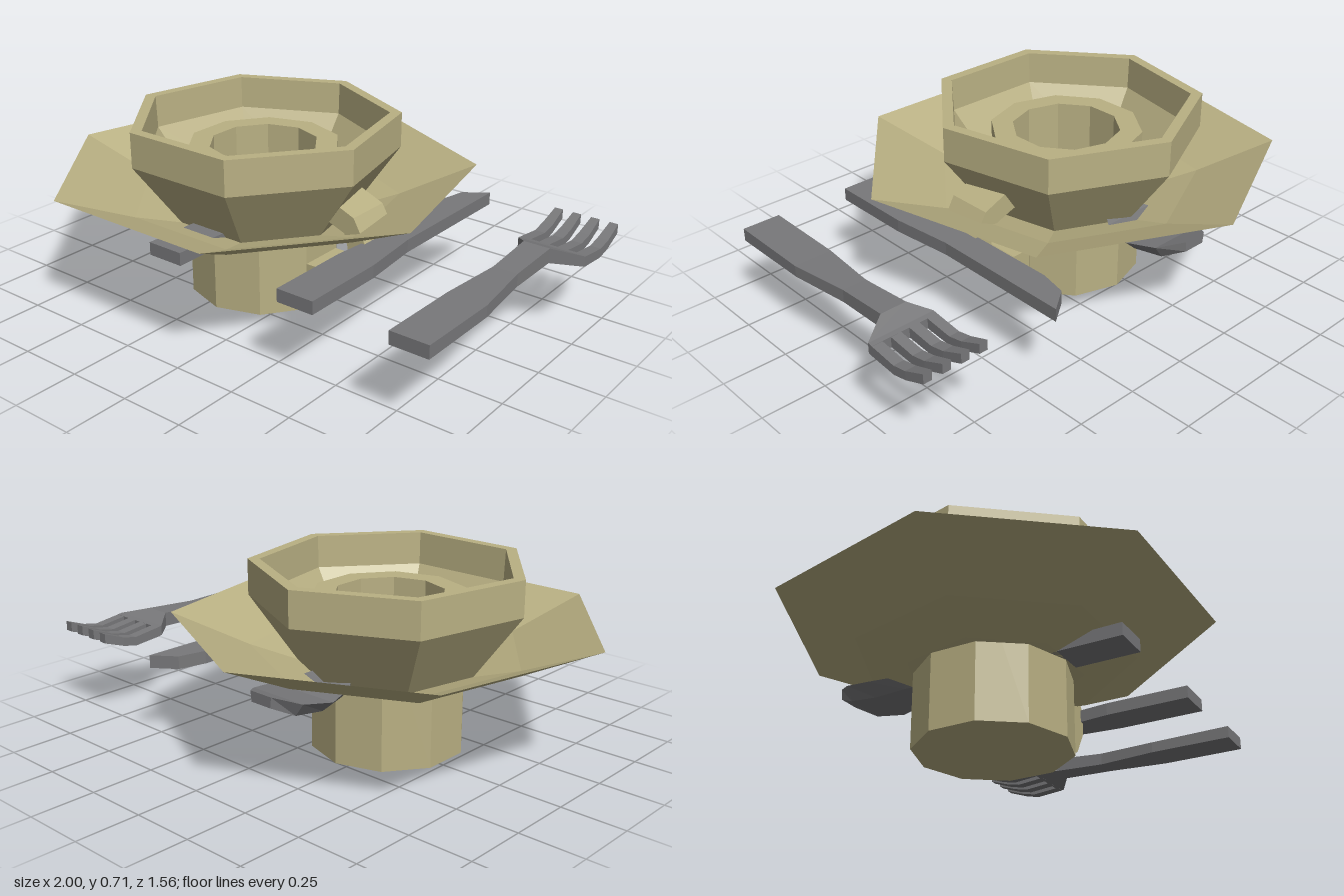
import * as THREE from 'three';

const ceramic = new THREE.MeshStandardMaterial({ color: 0xb9b083, flatShading: true });
const steel = new THREE.MeshStandardMaterial({ color: 0x78787a, flatShading: true });

function part(geometry, material, name) {
  const mesh = new THREE.Mesh(geometry, material);
  mesh.name = name;
  return mesh;
}

// Faceted dish: profile runs from the underside centre, out, up and back inside
function turned(profile, sides, start, name) {
  const points = profile.map(([r, y]) => new THREE.Vector2(r, y));
  return part(new THREE.LatheGeometry(points, sides, start), ceramic, name);
}

// Rectangular sections [z, xMin, xMax, yBottom, yTop, bottomScale] joined front to back
function bar(sections, name) {
  const positions = [];
  const index = [];
  for (const [z, x0, x1, y0, y1, s = 1] of sections) {
    const c = (x0 + x1) / 2;
    const h = ((x1 - x0) / 2) * s;
    positions.push(c - h, y0, z, c + h, y0, z, x1, y1, z, x0, y1, z);
  }
  const last = (sections.length - 1) * 4;
  for (let a = 0; a < last; a += 4) {
    for (let k = 0; k < 4; k++) {
      const n = (k + 1) % 4;
      index.push(a + k, a + 4 + k, a + n, a + n, a + 4 + k, a + 4 + n);
    }
  }
  index.push(0, 1, 2, 0, 2, 3, last, last + 2, last + 1, last, last + 3, last + 2);
  const geometry = new THREE.BufferGeometry();
  geometry.setAttribute('position', new THREE.Float32BufferAttribute(positions, 3));
  geometry.setIndex(index);
  const flat = geometry.toNonIndexed();
  flat.computeVertexNormals();
  return part(flat, steel, name);
}

// Waisted grip shared by fork and spoon
const grip = (x) => [
  [0.59, x - 0.075, x + 0.075, 0.295, 0.345],
  [0.25, x - 0.075, x + 0.075, 0.295, 0.34],
  [0, x - 0.047, x + 0.047, 0.297, 0.347],
  [-0.22, x - 0.052, x + 0.052, 0.305, 0.362],
];

function createMug() {
  const mug = new THREE.Group();
  mug.name = 'mug';
  mug.add(turned(
    [[0, 0], [0.295, 0], [0.295, 0.59], [0.21, 0.59], [0.21, 0.06], [0, 0.06]],
    10, 0, 'mugBody'));

  // Handle: lower half of the outline, mirrored about mid height
  const mid = 0.295;
  const outer = [[0.26, 0.11], [0.385, 0.11], [0.495, 0.155], [0.55, 0.25]];
  const inner = [[0.26, 0.19], [0.36, 0.19], [0.455, 0.225], [0.47, 0.275]];
  const mirrored = (line) => line.map(([x, y]) => [x, 2 * mid - y]).reverse();
  const outline = [
    ...outer, ...mirrored(outer),
    ...[...inner, ...mirrored(inner)].reverse(),
  ].map(([x, y]) => new THREE.Vector2(x, y));
  const handle = new THREE.ExtrudeGeometry(new THREE.Shape(outline), { depth: 0.18, bevelEnabled: false });
  handle.translate(0, 0, -0.09);
  mug.add(part(handle, ceramic, 'mugHandle'));
  return mug;
}

function createFork() {
  const fork = new THREE.Group();
  fork.name = 'fork';
  fork.add(bar([
    ...grip(0.845),
    [-0.29, 0.735, 1, 0.295, 0.335],
    [-0.31, 0.735, 1, 0.292, 0.332],
  ], 'forkHandle'));
  for (let i = 0; i < 4; i++) {
    const x = 0.735 + i * 0.0745;
    const w = x + 0.0415;
    fork.add(bar([
      [-0.3, x, w, 0.293, 0.333],
      [-0.42, x, w, 0.282, 0.318],
      [-0.48, x, w, 0.295, 0.33],
      [-0.565, x + 0.004, w - 0.004, 0.325, 0.363],
    ], 'forkTine'));
  }
  return fork;
}

export function createModel() {
  const model = new THREE.Group();
  model.name = 'tableware';

  const dishes = new THREE.Group();
  dishes.name = 'dishes';
  dishes.position.set(-0.2, 0, 0.04);
  dishes.add(createMug());

  // Seven-sided plate with a thin rim
  dishes.add(turned(
    [[0, 0.295], [0.33, 0.295], [0.525, 0.355], [0.82, 0.495], [0.525, 0.375], [0.33, 0.315], [0, 0.315]],
    7, Math.PI, 'plate'));

  // Seven-sided bowl with an upright wall
  dishes.add(turned(
    [[0, 0.3], [0.33, 0.3], [0.525, 0.57], [0.525, 0.707], [0.48, 0.707], [0.475, 0.58], [0.29, 0.325], [0, 0.325]],
    7, Math.PI, 'bowl'));
  model.add(dishes);

  model.add(createFork());

  // Knife with a slanted tip
  const outline = [
    [0.32, 0.59], [0.47, 0.59], [0.47, 0.25], [0.445, 0], [0.45, -0.575],
    [0.36, -0.51], [0.335, -0.4], [0.335, -0.05], [0.345, 0], [0.32, 0.25],
  ].map(([x, z]) => new THREE.Vector2(x, -z));
  const blade = new THREE.ExtrudeGeometry(new THREE.Shape(outline), { depth: 0.05, bevelEnabled: false });
  blade.rotateX(-Math.PI / 2).translate(0, 0.297, 0);
  model.add(part(blade, steel, 'knife'));

  // Spoon with a rounded, dipped head
  model.add(bar([
    ...grip(-0.2),
    [-0.3, -0.31, -0.09, 0.295, 0.335, 0.7],
    [-0.42, -0.345, -0.055, 0.28, 0.325, 0.65],
    [-0.54, -0.32, -0.08, 0.295, 0.345, 0.7],
    [-0.62, -0.25, -0.15, 0.335, 0.375, 0.9],
  ], 'spoon'));

  return model;
}
